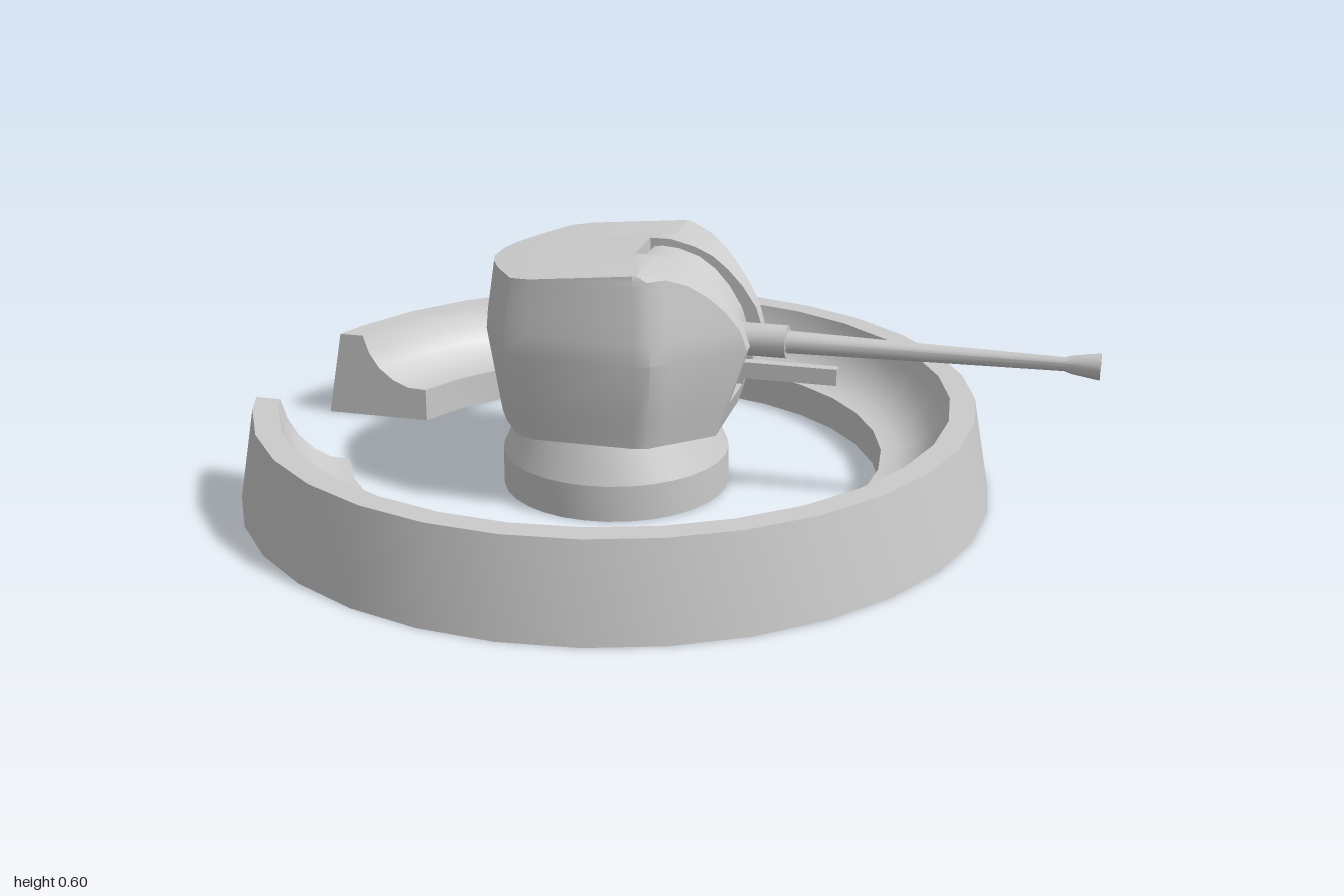
import * as THREE from 'three';
import { toCreasedNormals } from 'three/addons/utils/BufferGeometryUtils.js';

const CX = -0.14; // turret and parapet axis
const material = new THREE.MeshStandardMaterial({ color: 0xcccccc, side: THREE.DoubleSide });

function mesh(name, geometry) {
  const m = new THREE.Mesh(geometry, material);
  m.name = name;
  return m;
}

// Skin through equal-length cross-sections, with a flat cap at both ends.
// flat(p) gives the 2D position used to triangulate the caps.
function loft(rows, closed, flat) {
  const n = rows[0].length, index = [];
  for (let r = 0; r < rows.length - 1; r++) {
    for (let i = 0; i < (closed ? n : n - 1); i++) {
      const a = r * n + i, b = r * n + (i + 1) % n;
      index.push(a, a + n, b, b, a + n, b + n);
    }
  }
  for (const r of [0, rows.length - 1]) {
    const pts = rows[r].map(flat);
    const loopSign = Math.sign(THREE.ShapeUtils.area(pts));
    for (const t of THREE.ShapeUtils.triangulateShape(pts, [])) {
      const same = THREE.ShapeUtils.area(t.map(k => pts[k])) * loopSign > 0;
      const tri = same === (r === 0) ? t : [t[0], t[2], t[1]];
      index.push(...tri.map(k => r * n + k));
    }
  }
  const g = new THREE.BufferGeometry();
  g.setAttribute('position', new THREE.Float32BufferAttribute(rows.flat(2), 3));
  g.setIndex(index);
  return toCreasedNormals(g, 0.55);
}

// Ring wall with a straight-cut gap at the back, open underneath
function parapet() {
  const profile = [[0.645, 0], [0.645, 0.085], [0.69, 0.087], [0.73, 0.105],
    [0.765, 0.135], [0.79, 0.175], [0.805, 0.222], [0.865, 0.222], [0.905, 0]];
  const cut = 0.25, rows = [];
  for (let k = -15; k <= 15; k++) {
    const a = k * Math.PI / 16;
    rows.push(profile.map(([r, y]) => {
      let x = Math.cos(a) * r, z = Math.sin(a) * r;
      if (x < 0 && Math.abs(z) < cut) {
        z = Math.sign(k) * cut;
        x = -Math.sqrt(r * r - z * z);
      }
      return [CX + x, y, z];
    }));
  }
  return loft(rows, false, p => new THREE.Vector2(p[0], p[1]));
}

// Front edge of the turret by height: [y, x]
const front = [[0.18, 0.137], [0.22, 0.15], [0.245, 0.158], [0.39, 0.205], [0.44, 0.19],
  [0.49, 0.157], [0.53, 0.12], [0.56, 0.083], [0.58, 0.04], [0.595, -0.02]];

// Half of the plan outline behind the cheeks, at the widest height
const plan = [[0.055, 0.24], [0.02, 0.272], [-0.015, 0.28], [-0.28, 0.28],
  [-0.335, 0.26], [-0.4, 0.16], [-0.435, 0.09], [-0.45, 0.04]];

function turretBody() {
  const slot = 0.07;
  const scale = y => 1 - 0.5 * Math.abs(y - 0.4);
  const roof = x => 0.555 + (x + 0.43) * 0.0976;
  const section = (y, X, slotX) => {
    const s = scale(y);
    const cheek = x => s * (0.24 - 0.9 * ((x - CX) / s - 0.195));
    const half = [[slotX, y, slot], [X, y, slot], [X, y, Math.min(cheek(X), 0.28 * s)]];
    for (const [px, pz] of plan) {
      const py = Math.min(y, roof(px)), k = scale(py);
      const x = Math.min(CX + (px - CX) * k, X);
      half.push([x, Math.min(y, roof(x)), pz * k]);
    }
    return [...half, ...half.map(([x, h, z]) => [x, h, -z]).reverse()];
  };
  const rows = [];
  for (const [y, X] of front) {
    if (y <= 0.245) rows.push(section(y, X, X));
    if (y >= 0.245) rows.push(section(y, X, -0.07)); // gun slot above its floor
  }
  return loft(rows, true, p => new THREE.Vector2(p[0], p[2]));
}

// Curved shield that fills the gun slot, slightly recessed
function mantlet() {
  const shape = new THREE.Shape([[-0.06, 0.245], [0.125, 0.245], [0.165, 0.36], [0.168, 0.4],
    [0.155, 0.44], [0.125, 0.49], [0.09, 0.53], [0.05, 0.558], [0, 0.574], [-0.04, 0.578],
    [-0.06, 0.575]].map(p => new THREE.Vector2(...p)));
  const g = new THREE.ExtrudeGeometry(shape, { depth: 0.138, bevelEnabled: false });
  g.translate(0, 0, -0.069);
  return toCreasedNormals(g, 0.55);
}

// Turned part along x; profile points are [x, radius]
function turned(profile, segments = 16) {
  const g = new THREE.LatheGeometry(profile.map(([x, r]) => new THREE.Vector2(r, x)), segments);
  g.rotateZ(-Math.PI / 2);
  return toCreasedNormals(g, 0.55);
}

export function createModel() {
  const model = new THREE.Group();
  model.name = 'gunEmplacement';
  model.add(mesh('parapet', parapet()));

  const turret = new THREE.Group();
  turret.name = 'turret';
  turret.add(mesh('body', turretBody()), mesh('mantlet', mantlet()));

  // Hollow pedestal: straight collar with a taper up to the body
  const pedestal = new THREE.LatheGeometry(
    [[0.275, 0], [0.275, 0.088], [0.235, 0.18]].map(p => new THREE.Vector2(...p)), 32);
  const neck = mesh('pedestal', toCreasedNormals(pedestal, 0.35));
  neck.position.x = CX;
  turret.add(neck);

  // Main gun with sleeve, tapering barrel and flared hollow muzzle
  const gun = new THREE.Group();
  gun.name = 'gun';
  gun.position.y = 0.385;
  gun.add(
    mesh('sleeve', turned([[0.12, 0], [0.12, 0.039], [0.28, 0.039], [0.28, 0]])),
    mesh('barrel', turned([[0.27, 0.027], [0.6, 0.021], [0.92, 0.016], [0.935, 0.021],
      [1, 0.031], [1, 0.02], [0.94, 0.013], [0.94, 0]])));
  turret.add(gun);

  // Narrow bar under the gun
  const bar = mesh('lowerBar', new THREE.BoxGeometry(0.28, 0.04, 0.026));
  bar.position.set(0.26, 0.31, 0);
  turret.add(bar);

  model.add(turret);
  return model;
}
